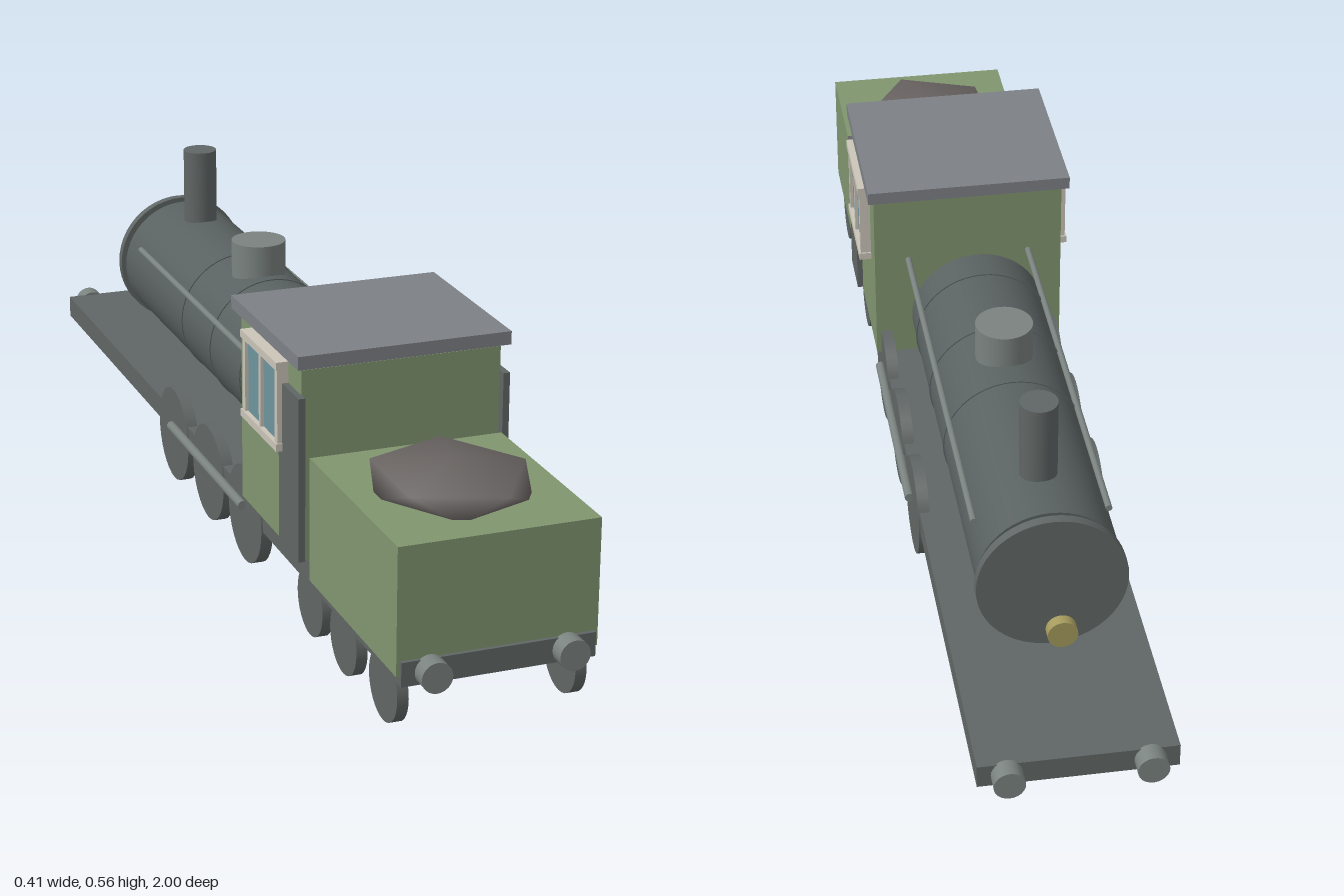
import * as THREE from 'three';
import { mergeVertices } from 'three/addons/utils/BufferGeometryUtils.js';

const mat = (color) => new THREE.MeshStandardMaterial({ color });
const green = mat(0x80956f), iron = mat(0x606665), boilerIron = mat(0x596160), steel = mat(0x7a827f);
const roofGrey = mat(0x7d8085), coalBlack = mat(0x686361);
const cream = mat(0xcac4b8), glass = mat(0x6f949e), brass = mat(0xa59a5c);

export function createModel() {
  const model = new THREE.Group();
  model.name = 'steamLocomotive';

  const add = (name, geometry, material, x, y, z) => {
    const mesh = new THREE.Mesh(geometry, material);
    mesh.name = name;
    mesh.position.set(x, y, z);
    model.add(mesh);
    return mesh;
  };
  // box given by its limits on each axis
  const box = (name, material, [x0, x1], [y0, y1], [z0, z1]) =>
    add(name, new THREE.BoxGeometry(x1 - x0, y1 - y0, z1 - z0), material,
      (x0 + x1) / 2, (y0 + y1) / 2, (z0 + z1) / 2);
  // cylinder along the chosen axis, centred on the given point
  const cylinder = (name, material, axis, radius, length, x, y, z, sides = 32) => {
    const geometry = new THREE.CylinderGeometry(radius, radius, length, sides);
    if (axis === 'x') geometry.rotateZ(Math.PI / 2);
    if (axis === 'z') geometry.rotateX(Math.PI / 2);
    return add(name, geometry, material, x, y, z);
  };

  // chassis with buffers at both ends
  box('chassis', iron, [-0.17, 0.17], [0.099, 0.142], [-0.97, 0.97]);
  for (const x of [-0.12, 0.12])
    for (const z of [-0.983, 0.983]) cylinder('buffer', steel, 'z', 0.027, 0.034, x, 0.121, z, 24);

  // tender with a faceted heap of coal
  box('tender', green, [-0.176, 0.176], [0.115, 0.34], [0.565, 0.963]);
  let coal = new THREE.IcosahedronGeometry(1, 0);
  coal.deleteAttribute('normal');
  coal.deleteAttribute('uv');
  coal = mergeVertices(coal);
  coal.rotateZ(-Math.atan(2 / (1 + Math.sqrt(5)))); // one corner straight up
  coal.scale(0.15, 0.04, 0.17);
  coal.computeVertexNormals();
  add('coal', coal, coalBlack, 0, 0.351, 0.757);

  // cab
  box('cab', green, [-0.182, 0.182], [0.142, 0.489], [0.23, 0.54]);
  box('cabRoof', roofGrey, [-0.194, 0.194], [0.496, 0.52], [0.21, 0.557]);

  // boiler, bands and smokebox door
  cylinder('boiler', boilerIron, 'z', 0.125, 0.8, 0, 0.298, -0.28, 48);
  for (const z of [0.05, -0.125, -0.3])
    cylinder('boilerBand', boilerIron, 'z', 0.127, 0.006, 0, 0.298, z, 48);
  cylinder('smokeboxDoor', iron, 'z', 0.131, 0.018, 0, 0.297, -0.702, 48);
  cylinder('steamDome', steel, 'y', 0.052, 0.08, 0, 0.442, -0.2);
  cylinder('chimney', iron, 'y', 0.033, 0.16, 0, 0.487, -0.56);
  cylinder('headlamp', brass, 'z', 0.026, 0.02, 0, 0.267, -0.8, 24);

  for (const s of [-1, 1]) {
    const side = (a, b) => (s > 0 ? [a, b] : [-b, -a]);

    // cab door and framed two-pane window
    box('cabDoor', iron, side(0.181, 0.193), [0.147, 0.445], [0.457, 0.557]);
    box('windowGlass', glass, side(0.181, 0.196), [0.325, 0.478], [0.298, 0.472]);
    for (const y of [0.322, 0.47]) box('windowRail', cream, side(0.181, 0.205), [y, y + 0.014], [0.29, 0.477]);
    for (const z of [0.293, 0.461]) box('windowStile', cream, side(0.181, 0.202), [0.33, 0.475], [z, z + 0.014]);
    box('windowMullion', cream, side(0.181, 0.202), [0.33, 0.475], [0.379, 0.389]);

    // handrail along the boiler
    cylinder('handrail', steel, 'z', 0.006, 0.823, s * 0.117, 0.355, -0.186, 12);

    // wheels and coupling rod
    for (const z of [0.215, 0.002, -0.211]) cylinder('drivingWheel', iron, 'x', 0.092, 0.022, s * 0.162, 0.1, z);
    for (const z of [0.885, 0.704, 0.543]) cylinder('tenderWheel', iron, 'x', 0.062, 0.02, s * 0.157, 0.064, z);
    cylinder('couplingRod', steel, 'z', 0.009, 0.43, s * 0.178, 0.117, 0.003, 12);
  }
  return model;
}
